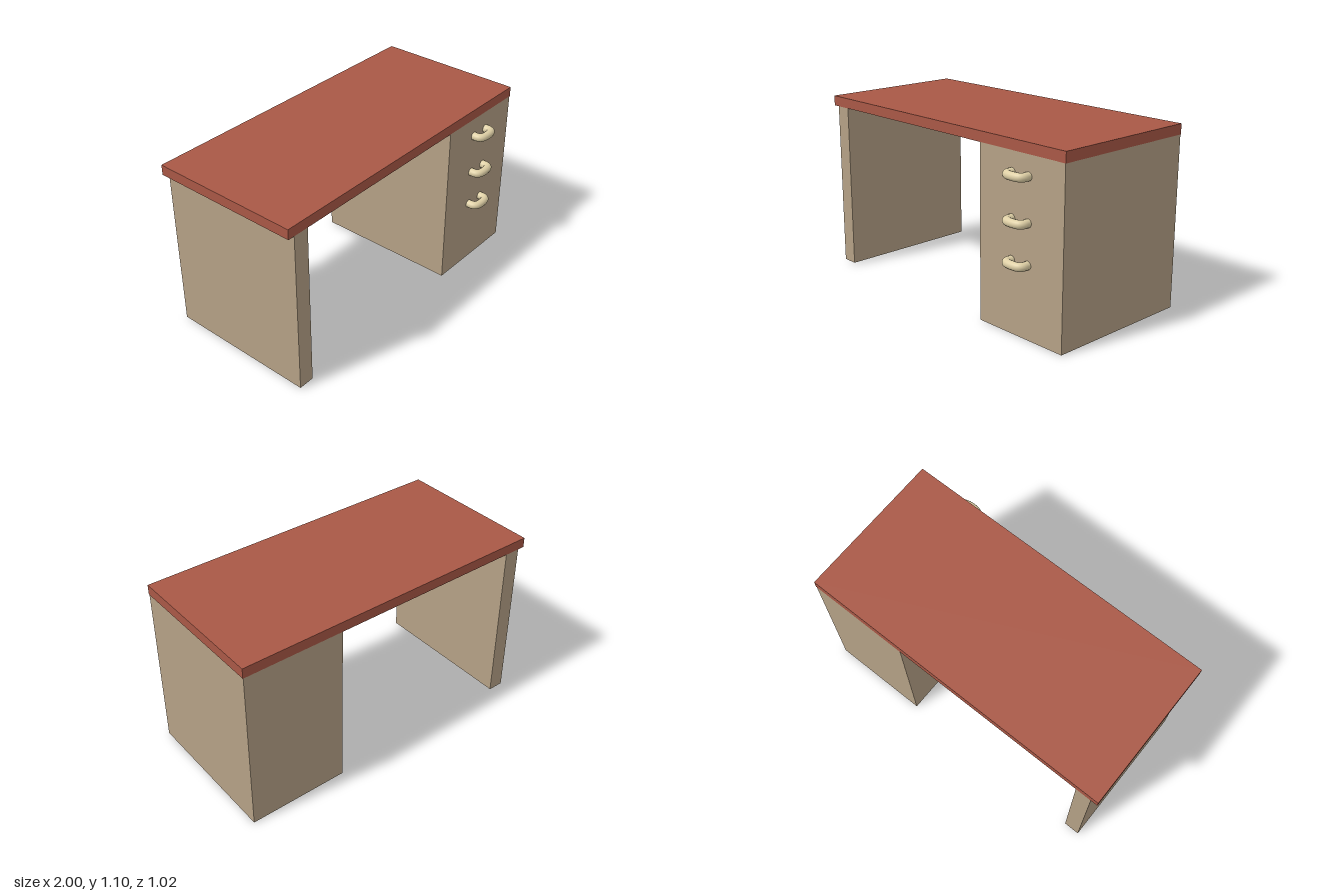
import * as THREE from 'three';

export function createModel() {
  const desk = new THREE.Group();
  desk.name = 'desk';

  const material = (name, color) => {
    const m = new THREE.MeshStandardMaterial({ color });
    m.name = name;
    return m;
  };
  const redWood = material('red wood', 0xa95846);
  const tan = material('tan panel', 0xb5a186);
  const cream = material('cream handle', 0xdfd0a6);

  // Box given by its low and high corners
  const box = (name, mat, [x0, y0, z0], [x1, y1, z1]) => {
    const mesh = new THREE.Mesh(new THREE.BoxGeometry(x1 - x0, y1 - y0, z1 - z0), mat);
    mesh.position.set((x0 + x1) / 2, (y0 + y1) / 2, (z0 + z1) / 2);
    mesh.name = name;
    desk.add(mesh);
  };

  const back = -0.51, front = 0.427;
  box('tabletop', redWood, [-1, 1.038, back], [1, 1.1, front]);
  box('drawerCabinet', tan, [0.37, 0, back + 0.001], [0.997, 1.038, front - 0.001]);
  box('sideLeg', tan, [-0.957, 0.007, back + 0.001], [-0.858, 1.038, front - 0.001]);

  // U-shaped pull: two short posts joined by a slightly bowed bar
  const path = new THREE.CurvePath();
  const v = (x, z) => new THREE.Vector3(x, 0, z);
  path.add(new THREE.LineCurve3(v(-0.061, -0.02), v(-0.061, 0.025)));
  path.add(new THREE.QuadraticBezierCurve3(v(-0.061, 0.025), v(-0.059, 0.05), v(-0.032, 0.055)));
  path.add(new THREE.QuadraticBezierCurve3(v(-0.032, 0.055), v(0, 0.061), v(0.032, 0.055)));
  path.add(new THREE.QuadraticBezierCurve3(v(0.032, 0.055), v(0.059, 0.05), v(0.061, 0.025)));
  path.add(new THREE.LineCurve3(v(0.061, 0.025), v(0.061, -0.02)));
  const pull = new THREE.TubeGeometry(path, 32, 0.025, 14, false);

  // One pull per drawer
  [0.92, 0.666, 0.431].forEach((y, i) => {
    const handle = new THREE.Mesh(pull, cream);
    handle.position.set(0.68, y, front);
    handle.name = `drawerHandle${i + 1}`;
    desk.add(handle);
  });

  return desk;
}
